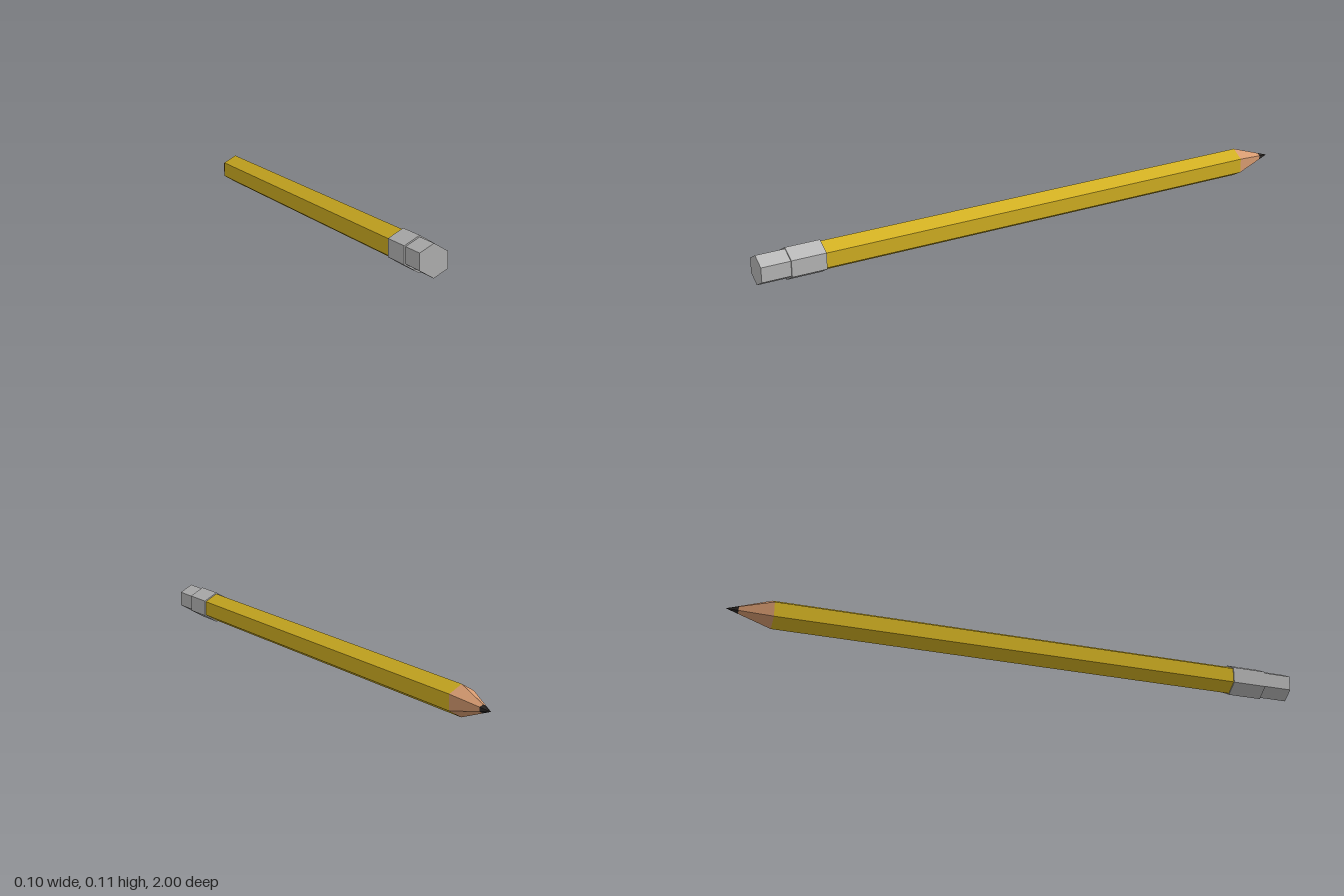
import * as THREE from 'three';

const AXIS_HEIGHT = 0.0565;
const BODY_RADIUS = 0.0514;
const TIP_START = -0.85, LEAD_START = -0.96, TIP_END = -1;
const LEAD_RADIUS = BODY_RADIUS * (LEAD_START - TIP_END) / (TIP_START - TIP_END);

function material(name, color) {
  const m = new THREE.MeshStandardMaterial({ color });
  m.name = name;
  return m;
}

// Hexagonal section along z, with a ridge at the top
function hexSection(name, mat, zBack, zFront, rBack, rFront, open = false) {
  const geometry = new THREE.CylinderGeometry(rFront, rBack, zFront - zBack, 6, 1, open)
    .rotateX(Math.PI / 2)
    .toNonIndexed();
  geometry.computeVertexNormals();
  const mesh = new THREE.Mesh(geometry, mat);
  mesh.name = name;
  mesh.position.set(0, AXIS_HEIGHT, (zBack + zFront) / 2);
  return mesh;
}

export function createModel() {
  const yellow = material('yellow paint', 0xd2b022);
  const grey = material('grey metal', 0xb8b8b8);
  const wood = material('bare wood', 0xd69a70);
  const graphite = material('graphite', 0x2a2624);

  const pencil = new THREE.Group();
  pencil.name = 'pencil';
  pencil.add(
    // Rubber end and the wider metal sleeve holding it
    hexSection('eraser', grey, 0.9, 1, BODY_RADIUS, BODY_RADIUS),
    hexSection('ferrule', grey, 0.78, 0.9, AXIS_HEIGHT, AXIS_HEIGHT),
    // Painted shaft
    hexSection('shaft', yellow, TIP_START, 0.78, BODY_RADIUS, BODY_RADIUS, true),
    // Sharpened end
    hexSection('sharpenedWood', wood, LEAD_START, TIP_START, LEAD_RADIUS, BODY_RADIUS, true),
    hexSection('leadTip', graphite, TIP_END, LEAD_START, 0, LEAD_RADIUS, true)
  );
  return pencil;
}
